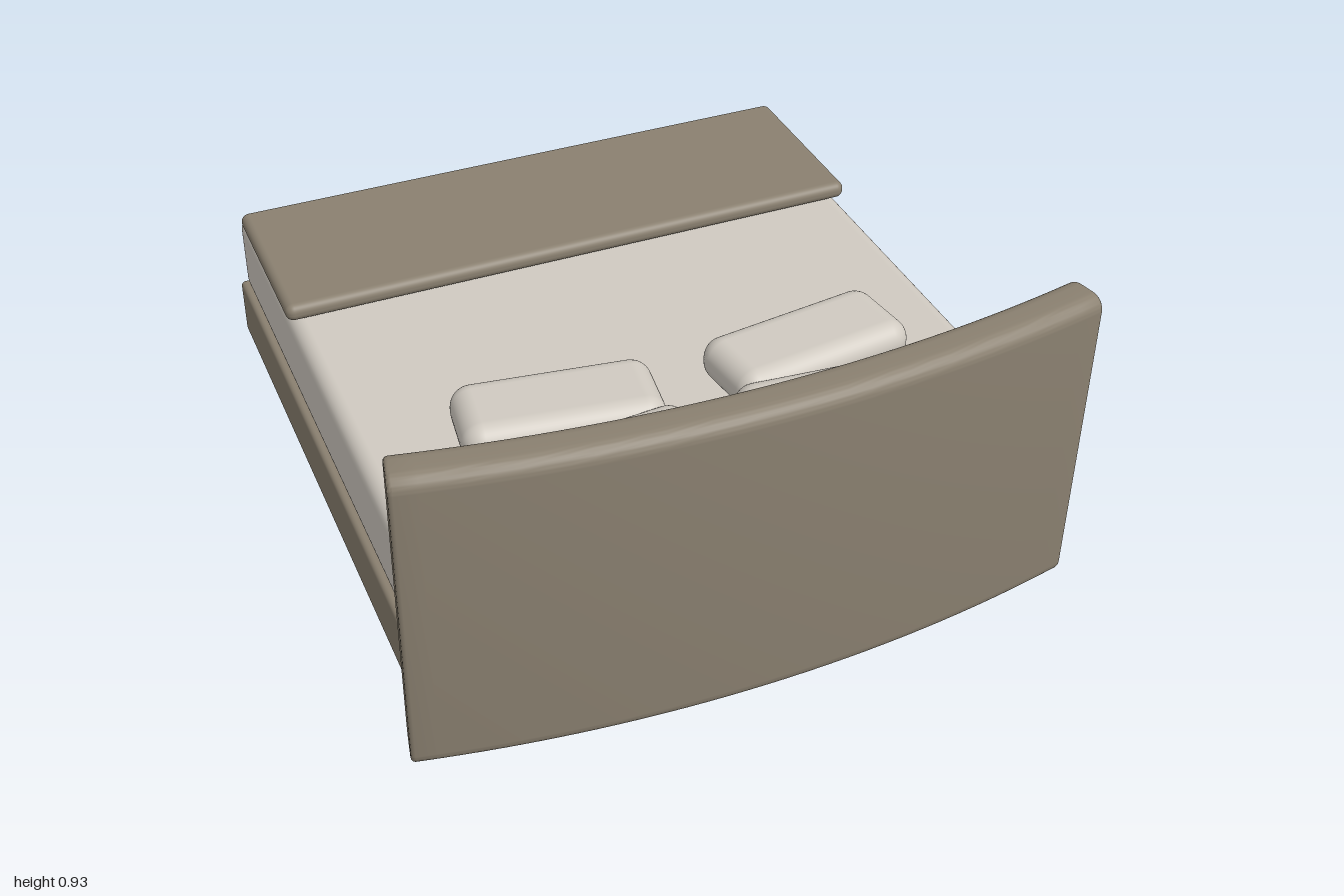
import * as THREE from 'three';
import { toCreasedNormals } from 'three/addons/utils/BufferGeometryUtils.js';
import { RoundedBoxGeometry } from 'three/addons/geometries/RoundedBoxGeometry.js';

const material = (color) => new THREE.MeshStandardMaterial({ color });

// Rounded block given by its extents on each axis
function block(name, mat, [x0, x1], [y0, y1], [z0, z1], radius) {
  const geo = new RoundedBoxGeometry(x1 - x0, y1 - y0, z1 - z0, 5, radius);
  const mesh = new THREE.Mesh(geo, mat);
  mesh.position.set((x0 + x1) / 2, (y0 + y1) / 2, (z0 + z1) / 2);
  mesh.name = name;
  return mesh;
}

// Rounded rectangle outline with its lower left corner at the origin
function roundedRect(w, h, r) {
  const s = new THREE.Shape();
  s.absarc(w - r, r, r, -Math.PI / 2, 0);
  s.absarc(w - r, h - r, r, 0, Math.PI / 2);
  s.absarc(r, h - r, r, Math.PI / 2, Math.PI);
  s.absarc(r, r, r, Math.PI, Math.PI * 1.5);
  s.closePath();
  return s;
}

// Upright panel with rounded long edges, bent around a vertical axis
function curvedHeadboard(mat) {
  const R = 4.5, thickness = 0.125, height = 0.93, bevel = 0.012;
  const length = 1.9;
  let geo = new THREE.ExtrudeGeometry(roundedRect(thickness, height, 0.042), {
    depth: length - 2 * bevel, steps: 32, curveSegments: 6,
    bevelEnabled: true, bevelSize: bevel, bevelThickness: bevel,
    bevelOffset: -bevel, bevelSegments: 3,
  });
  const p = geo.attributes.position;
  for (let i = 0; i < p.count; i++) {
    const angle = (p.getZ(i) + bevel - length / 2) / R;
    const radius = R - p.getX(i);
    p.setXYZ(i, Math.sin(angle) * radius, p.getY(i), 1 - R + Math.cos(angle) * radius);
  }
  geo = toCreasedNormals(geo, 0.7);
  const mesh = new THREE.Mesh(geo, mat);
  mesh.name = 'headboard';
  return mesh;
}

export function createModel() {
  const bed = new THREE.Group();
  bed.name = 'bed';
  const fabric = material(0x8a8070);
  const linen = material(0xd0cac1);
  const dark = material(0x2b2a30);

  // Recessed plinth, upholstered frame, mattress and throw
  const plinth = new THREE.Mesh(new THREE.BoxGeometry(1.64, 0.09, 1.785), dark);
  plinth.position.set(0, 0.045, -0.0225);
  plinth.name = 'plinth';
  bed.add(
    plinth,
    block('frame', fabric, [-0.885, 0.885], [0.08, 0.265], [-1, 0.87], 0.015),
    block('mattress', linen, [-0.87, 0.87], [0.262, 0.527], [-0.98, 0.88], 0.045),
    block('throw', fabric, [-0.88, 0.88], [0.53, 0.582], [-0.885, -0.335], 0.024),
    curvedHeadboard(fabric),
  );

  // Two mirrored pairs of pillows
  for (const side of [-1, 1]) {
    const label = side > 0 ? 'left' : 'right';
    const outer = block(label + 'FrontPillow', linen, [-0.27, 0.27], [0.55, 0.677], [-0.128, 0.128], 0.058);
    outer.position.x = side * 0.357;
    outer.position.z = 0.425;
    outer.rotation.y = side * 0.135;
    const inner = block(label + 'BackPillow', linen, [-0.27, 0.27], [0.55, 0.677], [-0.138, 0.138], 0.058);
    inner.position.x = side * 0.328;
    inner.position.z = 0.7;
    inner.rotation.y = side * -0.085;
    bed.add(outer, inner);
  }
  return bed;
}
